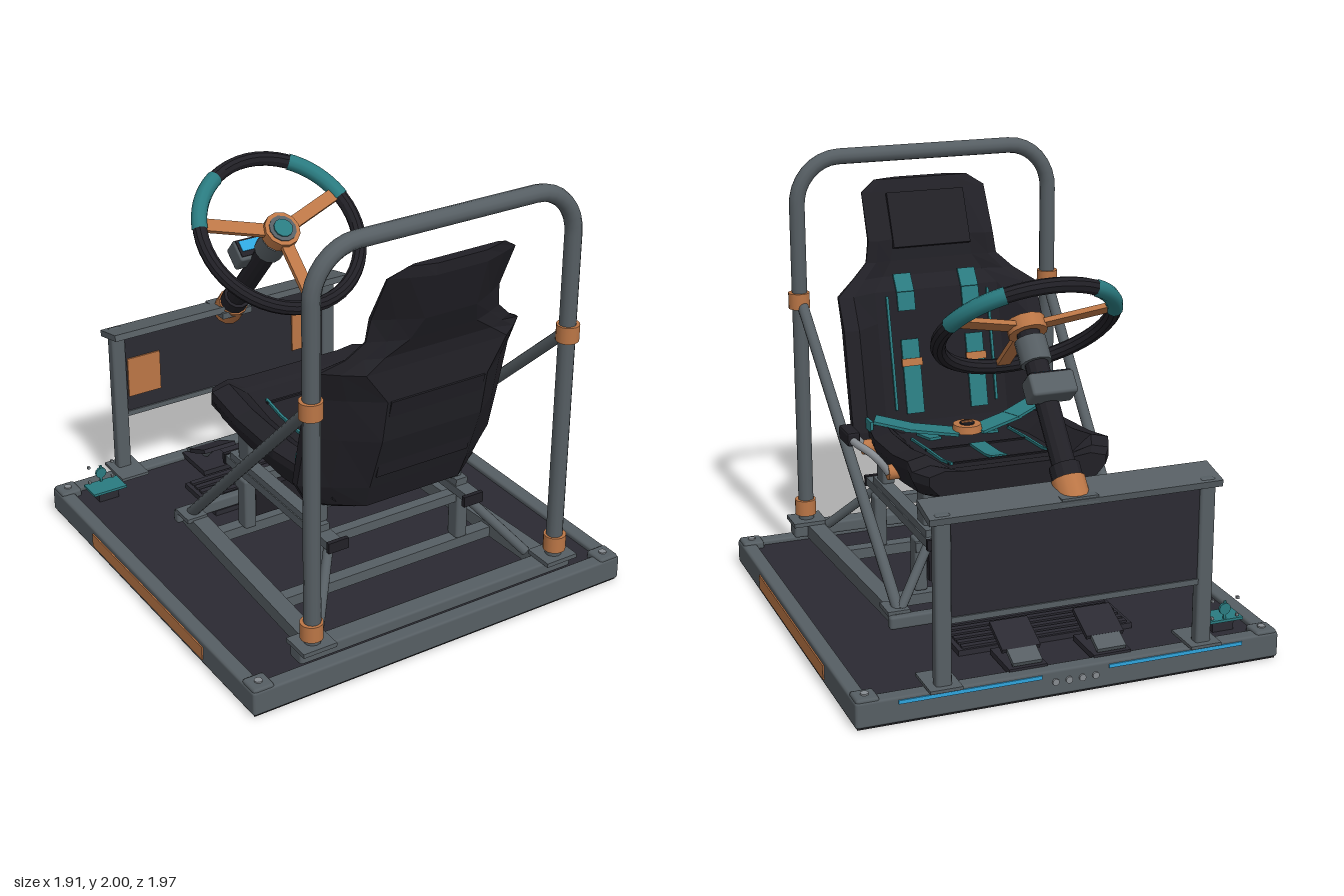
import * as THREE from 'three';
import { RoundedBoxGeometry } from 'three/addons/geometries/RoundedBoxGeometry.js';

const material = (name, color, extra = {}) =>
  Object.assign(new THREE.MeshStandardMaterial({ color, ...extra }), { name });

export function createModel() {
  const root = new THREE.Group();
  const steel = material('steel grey', 0x565e63);
  const pad = material('seat black', 0x212026, { flatShading: true });
  const deckMat = material('deck charcoal', 0x2b2a32);
  const dark = material('underside black', 0x242428);
  const copper = material('copper', 0xbb7646);
  const teal = material('teal', 0x2a7b80);
  const blue = material('light blue', 0x2fa5dd);
  const silver = material('silver', 0x868b90);
  const V = (x, y, z) => new THREE.Vector3(x, y, z);

  const add = (name, geo, mat, pos = [0, 0, 0], parent = root) => {
    const m = new THREE.Mesh(geo, mat);
    m.name = name;
    m.position.set(...pos);
    parent.add(m);
    return m;
  };
  const box = (name, size, pos, mat, parent) => add(name, new THREE.BoxGeometry(...size), mat, pos, parent);
  const soft = (name, size, pos, mat, parent) => add(name, new RoundedBoxGeometry(...size, 1, 0.012), mat, pos, parent);
  const beam = (name, a, b, w, h, mat, parent = root) => {
    const m = box(name, [w, h, a.distanceTo(b)], a.clone().lerp(b, 0.5).toArray(), mat, parent);
    m.lookAt(b);
    return m;
  };
  const rod = (name, a, b, r, mat, parent = root) => {
    const m = add(name, new THREE.CylinderGeometry(r, r, a.distanceTo(b), 12), mat, a.clone().lerp(b, 0.5).toArray(), parent);
    m.quaternion.setFromUnitVectors(V(0, 1, 0), b.clone().sub(a).normalize());
    return m;
  };
  // closed body through rings with equal point counts
  const loft = (rings) => {
    const n = rings[0].length, pos = [], idx = [];
    rings.forEach((r) => r.forEach((p) => pos.push(...p)));
    for (let j = 0; j < rings.length - 1; j++) for (let i = 0; i < n; i++) {
      const a = j * n + i, b = j * n + (i + 1) % n;
      idx.push(a, b, a + n, b, b + n, a + n);
    }
    [0, rings.length - 1].forEach((j) => {
      const c = pos.length / 3;
      pos.push(...[0, 1, 2].map((k) => rings[j].reduce((s, p) => s + p[k], 0) / n));
      for (let i = 0; i < n; i++) {
        const a = j * n + i, b = j * n + (i + 1) % n;
        if (j) idx.push(c, a, b); else idx.push(c, b, a);
      }
    });
    const g = new THREE.BufferGeometry();
    g.setAttribute('position', new THREE.Float32BufferAttribute(pos, 3));
    g.setIndex(idx);
    g.computeVertexNormals();
    return g;
  };
  const lookup = (rows, t, col) => {
    for (let i = 0; i < rows.length - 1; i++) {
      const [a, b] = [rows[i], rows[i + 1]], f = (t - a[0]) / (b[0] - a[0]);
      if (f >= 0 && f <= 1) return a[col] + (b[col] - a[col]) * f;
    }
    return rows[rows.length - 1][col];
  };

  // platform
  box('deck', [1.8, 0.09, 1.8], [0, 0.055, 0.01], deckMat);
  box('underside', [1.88, 0.008, 1.88], [0, 0.004, 0.01], dark);
  for (const s of [-1, 1]) {
    soft('sideRail', [0.07, 0.115, 1.9], [s * 0.915, 0.064, 0.01], steel);
    soft('endRail', [1.9, 0.115, 0.07], [0, 0.064, 0.01 + s * 0.915], steel);
    box('sideStripe', [0.012, 0.065, 1.04], [s * 0.95, 0.065, 0.018], copper);
    box('lightStrip', [0.62, 0.016, 0.008], [s * 0.46, 0.1, -0.942], blue);
    for (const t of [-1, 1]) {
      soft('cornerCap', [0.1, 0.125, 0.1], [s * 0.895, 0.07, 0.01 + t * 0.895], steel);
      add('cornerBolt', new THREE.CylinderGeometry(0.018, 0.018, 0.01, 8), silver, [s * 0.895, 0.134, 0.01 + t * 0.895]);
    }
  }
  for (let i = -1.5; i < 2; i++) rod('panelButton', V(i * 0.06, 0.07, -0.935), V(i * 0.06, 0.07, -0.949), 0.015, silver);

  // floor mat with ribs
  box('footMat', [0.8, 0.025, 0.3], [0, 0.113, -0.48], deckMat);
  for (let i = 0; i < 6; i++) box('matRib', [0.76, 0.014, 0.028], [0, 0.129, -0.38 - i * 0.045], deckMat);

  // lower frame
  soft('rearCrossbar', [1.4, 0.06, 0.09], [0, 0.165, 0.87], steel);
  soft('frontCrossbar', [1.22, 0.06, 0.045], [0, 0.165, -0.335], steel);
  for (const z of [0.5, -0.1]) box('lowerCrossbar', [1.1, 0.05, 0.06], [0, 0.16, z], steel);
  for (const z of [0.5, -0.1]) box('upperCrossbar', [0.82, 0.045, 0.05], [0, 0.4, z], steel);
  box('controlBox', [0.69, 0.14, 0.06], [0, 0.3, -0.08], pad);

  // roll hoop
  const hoop = new THREE.CurvePath();
  hoop.add(new THREE.LineCurve3(V(-0.625, 0.19, 0.885), V(-0.625, 1.75, 0.885)));
  hoop.add(new THREE.CubicBezierCurve3(V(-0.625, 1.75, 0.885), V(-0.625, 1.87, 0.885), V(-0.53, 1.963, 0.885), V(-0.42, 1.963, 0.885)));
  hoop.add(new THREE.LineCurve3(V(-0.42, 1.963, 0.885), V(0.42, 1.963, 0.885)));
  hoop.add(new THREE.CubicBezierCurve3(V(0.42, 1.963, 0.885), V(0.53, 1.963, 0.885), V(0.625, 1.87, 0.885), V(0.625, 1.75, 0.885)));
  hoop.add(new THREE.LineCurve3(V(0.625, 1.75, 0.885), V(0.625, 0.19, 0.885)));
  add('rollHoop', new THREE.TubeGeometry(hoop, 110, 0.037, 12), steel);

  // mirrored frame parts
  for (const s of [-1, 1]) {
    beam('lowerRail', V(s * 0.6, 0.165, 0.9), V(s * 0.54, 0.165, -0.33), 0.08, 0.065, steel);
    box('hoopFoot', [0.16, 0.02, 0.14], [s * 0.625, 0.205, 0.88], steel);
    for (const y of [0.275, 1.3]) add('hoopClamp', new THREE.CylinderGeometry(0.05, 0.05, 0.075, 16), copper, [s * 0.628, y, 0.885]);
    rod('longBrace', V(s * 0.62, 1.29, 0.87), V(s * 0.55, 0.19, -0.29), 0.026, steel);
    box('braceFoot', [0.1, 0.02, 0.12], [s * 0.56, 0.2, -0.27], steel);
    rod('rearBrace', V(s * 0.36, 0.43, 0.59), V(s * 0.54, 0.2, 0.8), 0.022, steel);
    rod('frontBrace', V(s * 0.36, 0.43, -0.15), V(s * 0.54, 0.2, -0.29), 0.022, steel);
    box('slideRail', [0.07, 0.04, 0.88], [s * 0.36, 0.455, 0.2], steel);
    box('slideCarriage', [0.06, 0.035, 0.75], [s * 0.36, 0.49, 0.175], steel);
    for (const z of [0.645, -0.24]) box('slideEndCap', [0.1, 0.05, 0.02], [s * 0.35, 0.455, z], pad);
    for (const [z, top] of [[0.475, 0.66], [-0.095, 0.69]]) {
      soft('slideLeg', [0.06, 0.25, 0.075], [s * 0.38, 0.31, z + 0.025], steel);
      soft('seatPost', [0.06, top - 0.49, 0.1], [s * 0.35, (top + 0.51) / 2, z], steel);
    }
    // pedals
    beam('pedalPad', V(s * 0.19, 0.245, -0.66), V(s * 0.19, 0.178, -0.81), 0.17, 0.02, deckMat);
    beam('pedalHeel', V(s * 0.19, 0.178, -0.81), V(s * 0.19, 0.145, -0.88), 0.13, 0.02, steel);
    box('pedalBase', [0.17, 0.025, 0.22], [s * 0.19, 0.12, -0.78], deckMat);
    rod('pedalArm', V(s * 0.19, 0.12, -0.82), V(s * 0.19, 0.2, -0.74), 0.014, steel);
    // dashboard uprights
    soft('dashPost', [0.07, 0.75, 0.055], [s * 0.58, 0.5, -0.928], steel);
    box('dashFoot', [0.14, 0.014, 0.19], [s * 0.58, 0.136, -0.89], steel);
    box('dashPatch', [0.17, 0.2, 0.008], [s * 0.453, 0.61, -0.908], copper);
  }

  // dashboard
  box('dashPanel', [1.12, 0.46, 0.03], [0, 0.64, -0.928], deckMat);
  box('dashLowerTrim', [1.14, 0.025, 0.045], [0, 0.42, -0.928], steel);
  beam('dashHeader', V(0, 0.885, -0.81), V(0, 0.85, -0.965), 1.28, 0.03, steel);

  // seat back rows: height, half width, rear z, centre front z, bolster front z, flat share of the rear
  const backRows = [
    [0.575, 0.3, 0.61, 0.5, 0.52, 0.6], [0.63, 0.43, 0.685, 0.55, 0.49, 0.55], [0.74, 0.49, 0.725, 0.59, 0.5, 0.5],
    [1.0, 0.49, 0.815, 0.65, 0.56, 0.5], [1.2, 0.49, 0.85, 0.7, 0.61, 0.5], [1.34, 0.49, 0.84, 0.735, 0.69, 0.7],
    [1.4, 0.4, 0.845, 0.785, 0.76, 0.65], [1.47, 0.325, 0.875, 0.8, 0.785, 0.5], [1.57, 0.31, 0.92, 0.81, 0.79, 0.4],
    [1.78, 0.305, 0.985, 0.91, 0.9, 0.4], [1.83, 0.23, 0.985, 0.94, 0.94, 0.5]];
  add('seatBack', loft(backRows.map(([y, w, b, c, f, r]) => {
    const d = f - b, m = (0.45 * r + 0.55) * w;
    return [[-r * w, y, b], [r * w, y, b], [m, y, b + d * 0.4], [w, y, b + d * 0.78], [w, y, f + 0.012], [0.86 * w, y, f],
      [0.62 * w, y, c], [-0.62 * w, y, c], [-0.86 * w, y, f], [-w, y, f + 0.012], [-w, y, b + d * 0.78], [-m, y, b + d * 0.4]];
  })), pad);
  beam('headPad', V(0, 1.53, 0.795), V(0, 1.77, 0.9), 0.38, 0.03, pad);
  beam('backShell', V(0, 0.8, 0.745), V(0, 1.2, 0.851), 0.46, 0.012, pad);
  const onBack = (x, y, d = 0.008) => V(x, y, lookup(backRows, y, 3) - d);

  // cushion rows: -z, half width, bottom, centre top, bolster top
  const seatRows = [
    [-0.62, 0.36, 0.6, 0.69, 0.73], [-0.5, 0.42, 0.58, 0.7, 0.785], [-0.3, 0.46, 0.6, 0.72, 0.8],
    [0, 0.47, 0.63, 0.74, 0.82], [0.2, 0.47, 0.655, 0.78, 0.855], [0.23, 0.46, 0.655, 0.79, 0.815], [0.31, 0.41, 0.67, 0.8, 0.81]];
  add('seatCushion', loft(seatRows.map(([t, w, b, c, f]) => [
    [-0.62 * w, c, -t], [0.62 * w, c, -t], [0.82 * w, f, -t], [w, f - 0.02, -t], [w, f - 0.06, -t], [0.9 * w, b + 0.035, -t], [0.7 * w, b, -t],
    [-0.7 * w, b, -t], [-0.9 * w, b + 0.035, -t], [-w, f - 0.06, -t], [-w, f - 0.02, -t], [-0.82 * w, f, -t]])), pad);
  const onSeat = (x, z, d = 0.006) => V(x, lookup(seatRows, -z, 3) + d, z);
  const strap = (name, pts, w, mat) => pts.slice(1).forEach((p, i) => beam(name, pts[i], p, w, 0.012, mat));

  // harness and seams
  for (const s of [-1, 1]) {
    strap('cushionSeam', [0.42, 0.2, 0, -0.12].map((z) => onSeat(s * 0.24, z)), 0.012, teal);
    strap('backSeam', [0.8, 1, 1.2, 1.32].map((y) => onBack(s * 0.25, y)), 0.012, teal);
    strap('shoulderStrap', [0.78, 0.9, 1, 1.12].map((y) => onBack(s * 0.16, y, 0.012)), 0.085, teal);
    strap('shoulderStrap', [1.25, 1.335, 1.41].map((y) => onBack(s * 0.16, y, 0.012)), 0.085, teal);
    strap('strapAdjuster', [1.0, 1.035].map((y) => onBack(s * 0.16, y, 0.022)), 0.1, copper);
    beam('lapBelt', V(s * 0.04, 0.755, 0.32), V(s * 0.27, 0.775, 0.42), 0.105, 0.014, teal);
    beam('lapBelt', V(s * 0.25, 0.775, 0.41), V(s * 0.4, 0.81, 0.475), 0.105, 0.014, teal);
    box('lapBeltAnchor', [0.014, 0.05, 0.075], [s * 0.424, 0.785, 0.477], teal);
    beam('beltTail', onSeat(s * 0.14, 0.37), onSeat(s * 0.16, 0.5), 0.06, 0.012, teal);
  }
  strap('crotchStrap', [0.2, 0, -0.08].map((z) => onSeat(0, z)), 0.075, teal);
  for (const z of [0.2, -0.1]) box('cushionRib', [0.5, 0.012, 0.012], onSeat(0, z, 0.001).toArray(), pad);
  add('buckle', new THREE.CylinderGeometry(0.065, 0.07, 0.035, 16), copper, [0, 0.772, 0.33]);
  add('buckleCentre', new THREE.CylinderGeometry(0.035, 0.035, 0.012, 12), pad, [0, 0.79, 0.33]);
  box('buckleBar', [0.055, 0.008, 0.014], [0, 0.798, 0.33], copper);

  // side grab handle
  add('grabHandle', new THREE.TubeGeometry(new THREE.CatmullRomCurve3([
    V(0.48, 0.72, 0.4), V(0.54, 0.79, 0.385), V(0.6, 0.83, 0.29), V(0.6, 0.83, 0.14), V(0.54, 0.79, 0.04), V(0.48, 0.71, 0.03)]), 32, 0.018, 10), silver);
  soft('handleGrip', [0.06, 0.065, 0.14], [0.6, 0.84, 0.215], pad);
  for (const z of [0.4, 0.035]) rod('handleMount', V(0.42, 0.71, z), V(0.485, 0.71, z), 0.035, copper);

  // steering assembly, local z along the column towards the driver
  const steering = new THREE.Group();
  steering.name = 'steeringAssembly';
  steering.position.set(0, 1.43, -0.385);
  steering.rotation.x = -0.863;
  root.add(steering);
  add('wheelRim', new THREE.TorusGeometry(0.38, 0.033, 10, 48), pad, [0, 0, 0], steering);
  for (const deg of [15, 120]) {
    add('wheelGrip', new THREE.TorusGeometry(0.38, 0.037, 10, 12, Math.PI / 4), teal, [0, 0, 0], steering)
      .rotation.z = THREE.MathUtils.degToRad(deg);
  }
  for (const deg of [19, 161, 270]) {
    const arm = new THREE.Group();
    arm.name = 'wheelSpoke';
    arm.rotation.z = THREE.MathUtils.degToRad(deg);
    steering.add(arm);
    box('spokeBar', [0.3, 0.06, 0.022], [0.21, 0, 0], copper, arm);
  }
  const along = (name, z0, z1, r, mat) => rod(name, V(0, 0, z0), V(0, 0, z1), r, mat, steering);
  along('hub', -0.03, 0.03, 0.085, copper);
  along('hubRing', 0.02, 0.035, 0.065, steel);
  along('hubButton', 0.03, 0.042, 0.045, teal);
  along('columnNeck', -0.07, -0.03, 0.05, pad);
  along('columnCollar', -0.17, -0.06, 0.068, steel);
  along('column', -0.75, -0.1, 0.05, pad);
  along('columnSleeve', -0.71, -0.63, 0.065, pad);
  along('columnBase', -0.79, -0.69, 0.072, copper);
  // display faces the driver
  soft('displayHousing', [0.2, 0.11, 0.1], [0, 0.07, -0.31], steel, steering);
  box('displayFrame', [0.18, 0.085, 0.006], [0, 0.075, -0.259], pad, steering);
  box('displayScreen', [0.155, 0.052, 0.006], [0, 0.083, -0.255], blue, steering);
  box('columnBracket', [0.16, 0.03, 0.17], [0, 0.86, -0.88], steel);

  // small control board near the corner
  box('boardPlate', [0.17, 0.012, 0.11], [-0.755, 0.155, -0.765], teal);
  box('boardBase', [0.1, 0.05, 0.07], [-0.755, 0.125, -0.765], deckMat);
  box('boardFin', [0.012, 0.09, 0.008], [-0.755, 0.2, -0.81], teal);
  rod('boardDial', V(-0.755, 0.208, -0.815), V(-0.755, 0.208, -0.803), 0.027, teal);
  for (const dx of [-0.06, 0.06]) for (const y of [0.172, 0.252]) box('boardPin', [0.012, 0.012, 0.012], [-0.755 + dx, y, -0.81], silver);
  return root;
}
